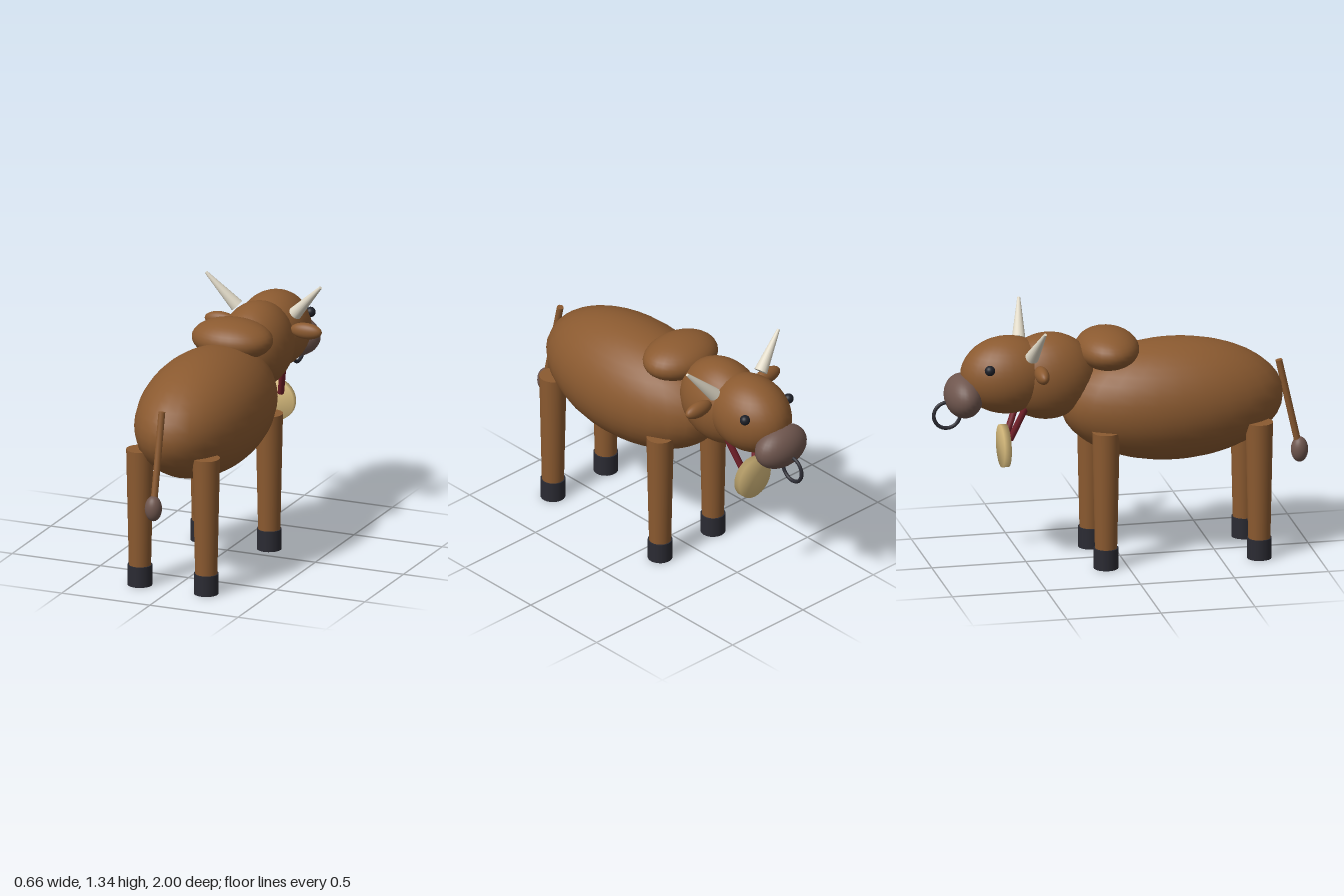
import * as THREE from 'three';
import { mergeVertices } from 'three/addons/utils/BufferGeometryUtils.js';

const paint = (name, color) => {
  const m = new THREE.MeshStandardMaterial({ color });
  m.name = name;
  return m;
};

export function createModel() {
  const hide = paint('brown hide', 0x8b5a30);
  const muzzleTone = paint('muzzle taupe', 0x6f564e);
  const dark = paint('dark hoof', 0x2b2b33);
  const eyeTone = paint('eye black', 0x1e2028);
  const ivory = paint('horn ivory', 0xdfd8c6);
  const red = paint('strap red', 0x74202a);
  const brass = paint('pale brass', 0xd6ba7c);

  const model = new THREE.Group();
  model.name = 'bull';

  const add = (name, geometry, material) => {
    const mesh = new THREE.Mesh(geometry, material);
    mesh.name = name;
    model.add(mesh);
    return mesh;
  };
  // Ellipsoid from centre and radii, optionally pitched about x
  const blob = (name, material, centre, radii, pitch = 0) => {
    const mesh = add(name, new THREE.SphereGeometry(1, 28, 20), material);
    mesh.position.set(...centre);
    mesh.scale.set(...radii);
    mesh.rotation.x = pitch;
    return mesh;
  };
  // Tapered rod between two points
  const rod = (name, material, from, to, rFrom, rTo, sides = 20) => {
    const a = new THREE.Vector3(...from);
    const b = new THREE.Vector3(...to);
    const dir = b.clone().sub(a);
    const mesh = add(name, new THREE.CylinderGeometry(rTo, rFrom, dir.length(), sides), material);
    mesh.position.copy(a).add(b).multiplyScalar(0.5);
    mesh.quaternion.setFromUnitVectors(new THREE.Vector3(0, 1, 0), dir.normalize());
    return mesh;
  };

  // Trunk, hump, neck and head
  blob('body', hide, [0, 0.843, 0.275], [0.315, 0.322, 0.59]);
  blob('hump', hide, [0, 1.138, -0.068], [0.22, 0.107, 0.165]);
  blob('neck', hide, [0, 1.01, -0.385], [0.187, 0.23, 0.25], -0.12);
  blob('head', hide, [0, 1.03, -0.6], [0.188, 0.205, 0.247]);
  blob('muzzle', muzzleTone, [0, 0.93, -0.832], [0.16, 0.115, 0.1]);

  // Nose ring
  const ring = add('noseRing', new THREE.TorusGeometry(0.07, 0.01, 10, 32), dark);
  ring.position.set(0, 0.828, -0.92);
  ring.rotation.y = Math.PI / 2;

  // Paired parts
  for (const s of [1, -1]) {
    const side = s > 0 ? 'left' : 'right';
    blob(side + 'Eye', eyeTone, [s * 0.155, 1.105, -0.725], [0.027, 0.027, 0.027]);
    blob(side + 'Ear', hide, [s * 0.243, 1.09, -0.467], [0.088, 0.043, 0.036]);
    rod(side + 'Horn', ivory, [s * 0.165, 1.165, -0.503], [s * 0.325, 1.338, -0.467], 0.036, 0.008);
    rod(side + 'Strap', red, [s * 0.1, 0.91, -0.505], [s * 0.045, 0.69, -0.592], 0.0175, 0.0175, 12);
    for (const [end, z] of [['Front', -0.115], ['Rear', 0.7]]) {
      rod(side + end + 'Leg', hide, [s * 0.188, 0.1, z], [s * 0.188, 0.74, z], 0.058, 0.072);
      rod(side + end + 'Hoof', dark, [s * 0.188, 0, z], [s * 0.188, 0.11, z], 0.065, 0.065);
    }
  }

  // Hanging disc bell, with softly blended rim normals
  let disc = new THREE.CylinderGeometry(0.113, 0.113, 0.036, 28);
  disc.deleteAttribute('normal');
  disc.deleteAttribute('uv');
  disc = mergeVertices(disc);
  disc.computeVertexNormals();
  const bell = add('bell', disc, brass);
  bell.position.set(0, 0.641, -0.617);
  bell.rotation.x = Math.PI / 2;

  // Tail and tuft
  rod('tail', hide, [0, 1.01, 0.845], [0, 0.55, 0.947], 0.018, 0.018, 12);
  blob('tailTuft', muzzleTone, [0, 0.515, 0.955], [0.045, 0.068, 0.045]);

  return model;
}
